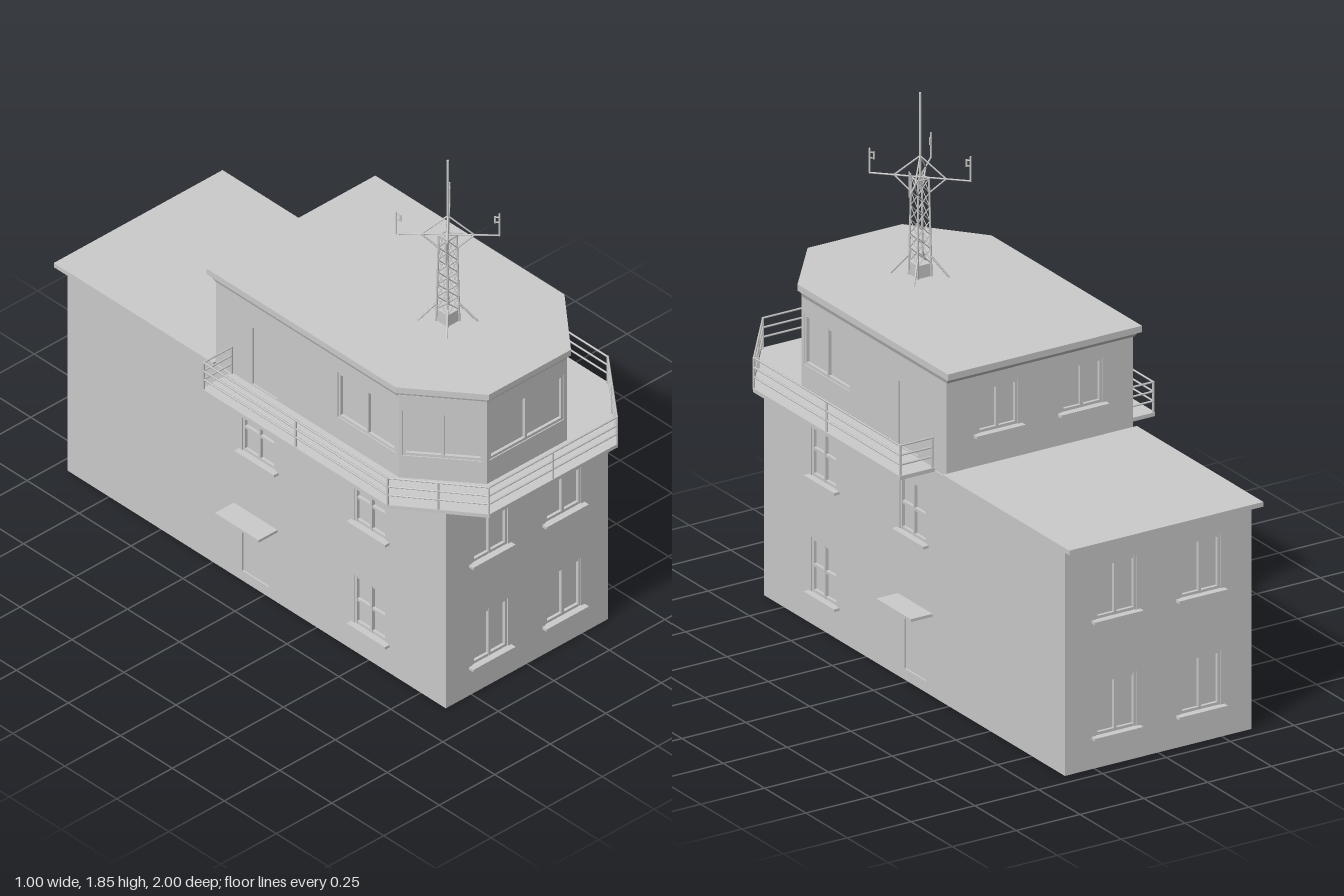
import * as THREE from 'three';

const V = (x, y, z) => new THREE.Vector3(x, y, z);
const grey = new THREE.MeshStandardMaterial({ color: 0xcccccc, side: THREE.DoubleSide });

function add(parent, name, geo, x = 0, y = 0, z = 0) {
  const m = new THREE.Mesh(geo, grey);
  m.name = name;
  m.position.set(x, y, z);
  parent.add(m);
  return m;
}
const box = (parent, name, w, h, d, x, y, z) => add(parent, name, new THREE.BoxGeometry(w, h, d), x, y, z);

// straight round bar between two points
function rod(parent, name, a, b, r, sides = 6) {
  const d = b.clone().sub(a);
  const m = add(parent, name, new THREE.CylinderGeometry(r, r, d.length(), sides));
  m.position.copy(a).add(b).multiplyScalar(0.5);
  m.quaternion.setFromUnitVectors(V(0, 1, 0), d.normalize());
}

// flat prism over an [x, z] outline
function prism(points, y0, y1) {
  const shape = new THREE.Shape(points.map(([x, z]) => new THREE.Vector2(x, -z)));
  const g = new THREE.ExtrudeGeometry(shape, { depth: y1 - y0, bevelEnabled: false });
  return g.rotateX(-Math.PI / 2).translate(0, y0, 0);
}

// wall from a to b (left to right seen from outside) with real openings
// opening: s0..s1 along the wall, y0..y1, cols/rows of panes, door, sill
const T = 0.018;
function wall(parent, name, a, b, y0, y1, openings = []) {
  const dx = b[0] - a[0], dz = b[1] - a[1], len = Math.hypot(dx, dz);
  const g = new THREE.Group();
  g.name = name;
  g.position.set(a[0], 0, a[1]);
  g.rotation.y = Math.atan2(-dz, dx);
  parent.add(g);
  const rect = (P, x0, x1, v0, v1) => {
    const p = new P();
    p.moveTo(x0, v0); p.lineTo(x1, v0); p.lineTo(x1, v1); p.lineTo(x0, v1); p.closePath();
    return p;
  };
  const shape = rect(THREE.Shape, 0, len, y0, y1);
  for (const o of openings) shape.holes.push(rect(THREE.Path, o.s0, o.s1, o.y0, o.y1));
  add(g, name + 'Panel', new THREE.ExtrudeGeometry(shape, { depth: T, bevelEnabled: false }), 0, 0, -T);

  for (const o of openings) {
    const w = o.s1 - o.s0, h = o.y1 - o.y0, cx = (o.s0 + o.s1) / 2, cy = (o.y0 + o.y1) / 2;
    if (o.door) {
      box(g, 'door', w, h, 0.008, cx, cy, -0.01);
      continue;
    }
    box(g, 'windowPane', w, h, 0.003, cx, cy, -T + 0.0015);
    const f = 0.01, { cols = 2, rows = 1 } = o;
    for (let i = 0; i <= cols; i++) {
      const x = o.s0 + f / 2 + (w - f) * i / cols;
      box(g, 'windowUpright', f, h, T - 0.005, x, cy, -T / 2 - 0.001);
    }
    for (let j = 0; j <= rows; j++) {
      const y = o.y0 + f / 2 + (h - f) * j / rows;
      box(g, 'windowCrossbar', w, f, T - 0.006, cx, y, -T / 2 - 0.001);
    }
    if (o.sill) box(g, 'windowSill', w + 0.03, 0.01, 0.03, cx, o.y0 - 0.005, 0.006);
  }
}

// same openings seen on the opposite wall
const mirrored = (list, len) => list.map(o => ({ ...o, s0: len - o.s1, s1: len - o.s0 }));

function lowerBuilding(root) {
  const g = new THREE.Group();
  g.name = 'lowerBuilding';
  root.add(g);
  const X = 0.365, F = 0.87, B = -0.95, H = 0.81;
  const floors = [0.115, 0.53], ends = [], side = [];
  for (const y of floors) {
    for (const c of [0.2, 0.53]) ends.push({ s0: c - 0.08, s1: c + 0.08, y0: y, y1: y + 0.195, sill: true });
    side.push({ s0: F - 0.585, s1: F - 0.43, y0: y, y1: y + 0.195, rows: 2, sill: true });
  }
  side.push({ s0: F - 0.05, s1: F + 0.11, y0: 0.53, y1: 0.725, rows: 2, sill: true });
  side.push({ s0: F - 0.02, s1: F + 0.11, y0: 0.04, y1: 0.275, door: true });
  wall(g, 'frontWall', [-X, F], [X, F], 0, H, ends);
  wall(g, 'rightWall', [X, F], [X, B], 0, H, side);
  wall(g, 'backWall', [X, B], [-X, B], 0, H, ends);
  wall(g, 'leftWall', [-X, B], [-X, F], 0, H, mirrored(side, F - B));
  for (const s of [-1, 1]) box(g, 'doorCanopy', 0.085, 0.01, 0.21, s * 0.4075, 0.29, -0.045);
  box(g, 'rearRoof', 0.76, 0.017, 0.765, 0, 0.8165, -0.6175);
  box(g, 'upperFloor', 0.72, 0.012, 0.1, 0, 0.812, -0.19);
}

function cabin(root) {
  const g = new THREE.Group();
  g.name = 'lookoutCabin';
  root.add(g);
  const y0 = 0.815, y1 = 1.155, X = 0.365, B = -0.235, S = 0.645, C = 0.18, F = 0.87;
  const chamfer = Math.hypot(X - C, F - S);
  const view = (s0, s1) => ({ s0, s1, y0: 0.91, y1: 1.092 });
  const side = [view(S - 0.63, S - 0.35), { s0: S - 0.058, s1: S + 0.06, y0: 0.825, y1: 1.055, door: true }];
  const corner = [view(0.012, chamfer - 0.012)];
  const back = [0.2, 0.53].map(c => ({ s0: c - 0.08, s1: c + 0.08, y0: 0.94, y1: 1.1, sill: true }));
  wall(g, 'cabinFront', [-C, F], [C, F], y0, y1, [view(0.012, 2 * C - 0.012)]);
  wall(g, 'cabinRightCorner', [C, F], [X, S], y0, y1, corner);
  wall(g, 'cabinRight', [X, S], [X, B], y0, y1, side);
  wall(g, 'cabinBack', [X, B], [-X, B], y0, y1, back);
  wall(g, 'cabinLeft', [-X, B], [-X, S], y0, y1, mirrored(side, S - B));
  wall(g, 'cabinLeftCorner', [-X, S], [-C, F], y0, y1, corner);

  // roof slab on a cornice that narrows downward
  const outline = [[-0.38, -0.265], [0.38, -0.265], [0.38, 0.645], [0.185, 0.885], [-0.185, 0.885], [-0.38, 0.645]];
  add(g, 'cabinRoof', prism(outline, 1.17, 1.193));
  const cornice = prism(outline.map(([x, z]) => [x * 0.985, (z - 0.31) * 0.985 + 0.31]), 1.148, 1.17);
  const p = cornice.attributes.position;
  for (let i = 0; i < p.count; i++) {
    if (p.getY(i) < 1.16) p.setXYZ(i, p.getX(i) * 0.977, p.getY(i), (p.getZ(i) - 0.31) * 0.977 + 0.315);
  }
  cornice.computeVertexNormals();
  add(g, 'roofCornice', cornice);
}

function balcony(root) {
  const g = new THREE.Group();
  g.name = 'balcony';
  root.add(g);
  const edge = [[0.5, -0.16], [0.5, 0.73], [0.29, 1], [-0.29, 1], [-0.5, 0.73], [-0.5, -0.16]];
  add(g, 'balconyDeck', prism(edge, 0.806, 0.82));
  // railing follows the deck edge and returns to the cabin at both ends
  const line = [[0.37, -0.155], [0.496, -0.155], [0.496, 0.73], [0.288, 0.996],
    [-0.288, 0.996], [-0.496, 0.73], [-0.496, -0.155], [-0.37, -0.155]];
  for (let i = 0; i < line.length - 1; i++) {
    const [ax, az] = line[i], [bx, bz] = line[i + 1];
    for (const y of [0.859, 0.893, 0.927]) rod(g, 'handrail', V(ax, y, az), V(bx, y, bz), 0.0035);
    rod(g, 'railPost', V(ax, 0.815, az), V(ax, 0.929, az), 0.004);
    const mx = (ax + bx) / 2, mz = (az + bz) / 2;
    if (i > 0 && i < 6) rod(g, 'railPost', V(mx, 0.815, mz), V(mx, 0.929, mz), 0.004);
  }
  rod(g, 'railPost', V(-0.37, 0.815, -0.155), V(-0.37, 0.929, -0.155), 0.004);
}

function mast(root) {
  const g = new THREE.Group();
  g.name = 'antennaMast';
  g.position.set(0, 0, 0.49);
  root.add(g);
  const base = 1.193, top = 1.54, bays = 6;
  const corners = [[1, 1], [1, -1], [-1, -1], [-1, 1]];
  const at = ([sx, sz], y) => {
    const r = 0.027 - 0.006 * (y - base) / (top - base);
    return V(sx * r, y, sz * r);
  };
  box(g, 'mastBase', 0.05, 0.048, 0.05, 0, base + 0.022, 0);
  corners.forEach((c, k) => {
    const n = corners[(k + 1) % 4];
    rod(g, 'towerLeg', at(c, base), at(c, top), 0.0035);
    // crossed bracing on each face
    for (let i = 0; i < bays; i++) {
      const ya = 1.24 + 0.05 * i, yb = ya + 0.05;
      rod(g, 'towerBrace', at(c, ya), at(n, yb), 0.0018, 4);
      rod(g, 'towerBrace', at(n, ya), at(c, yb), 0.0018, 4);
    }
    rod(g, 'towerTopRail', at(c, top), at(n, top), 0.003);
    rod(g, 'footStay', V(c[0] * 0.07, base, c[1] * 0.07), at(c, 1.265), 0.0035);

    // diagonal arm with its struts and end antenna
    const arm = (r, y) => V(c[0] * r, y, c[1] * r);
    rod(g, 'antennaArm', arm(0, 1.544), arm(0.12, 1.544), 0.003);
    rod(g, 'upperStrut', arm(0.002, 1.617), arm(0.062, 1.544), 0.003);
    rod(g, 'lowerStrut', at(c, 1.49), arm(0.062, 1.544), 0.003);
    rod(g, 'antennaRod', arm(0.12, 1.542), arm(0.12, 1.632), 0.003);
    rod(g, 'antennaStub', arm(0.12, 1.617), arm(0.11, 1.617), 0.0025);
    rod(g, 'antennaStub', arm(0.12, 1.597), arm(0.11, 1.597), 0.0025);
    rod(g, 'antennaElement', arm(0.11, 1.594), arm(0.11, 1.62), 0.0035);
  });
  rod(g, 'centralWhip', V(0, 1.5, 0), V(0, 1.845, 0), 0.004, 8);
}

export function createModel() {
  const root = new THREE.Group();
  root.name = 'lookoutStation';
  lowerBuilding(root);
  cabin(root);
  balcony(root);
  mast(root);
  return root;
}
